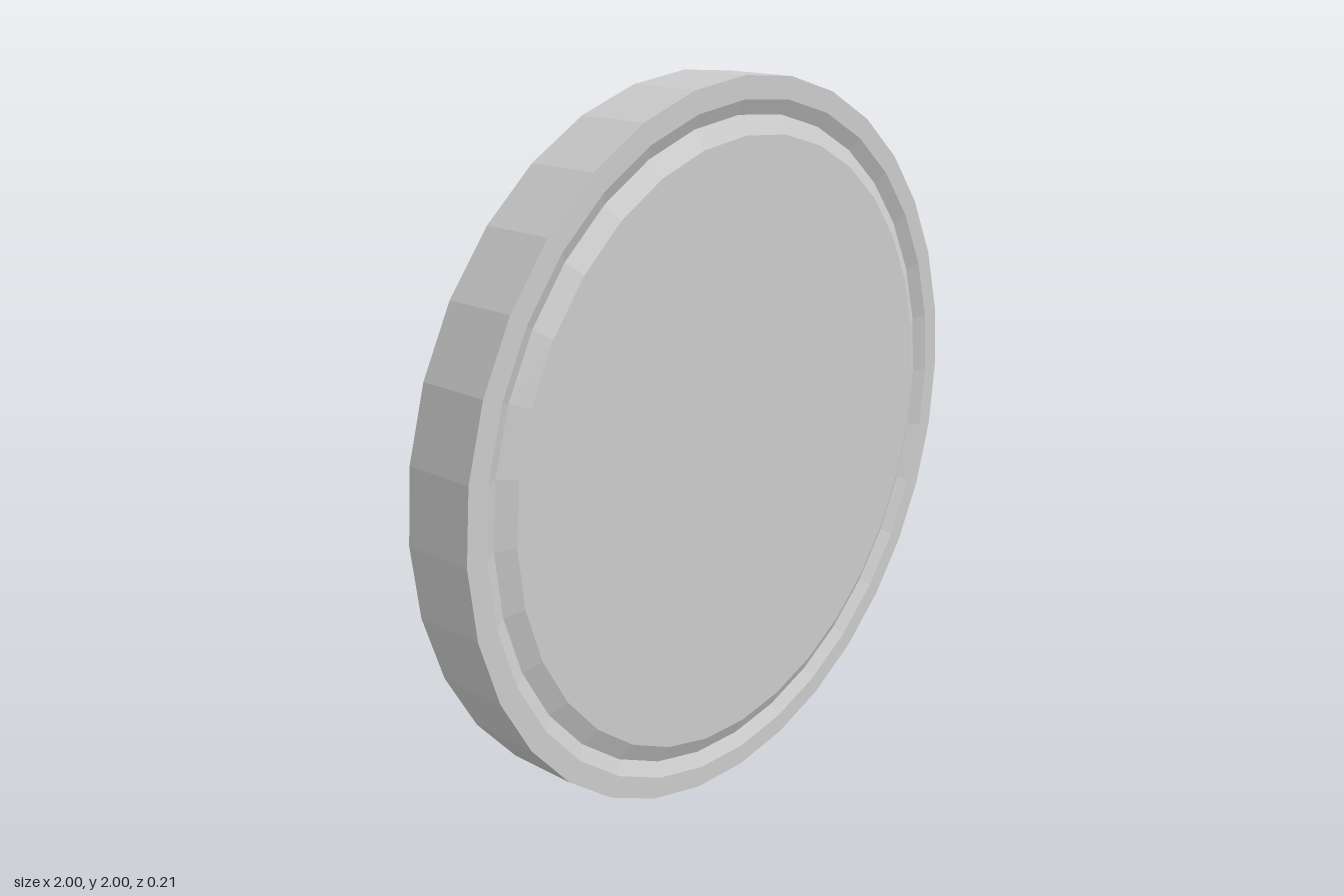
import * as THREE from 'three';

export function createModel() {
  const model = new THREE.Group();
  model.name = 'disc';

  // Half profile (radius, height): raised centre face, V groove, flat rim
  const half = [[0, 0.105], [0.85, 0.105], [0.9, 0.08], [0.94, 0.1], [1, 0.1]];
  const profile = [
    ...half.map(([r, h]) => new THREE.Vector2(r, -h)),
    ...half.slice().reverse().map(([r, h]) => new THREE.Vector2(r, h)),
  ];

  // Thirty-two sided body with both grooved faces, stood on its edge
  const geometry = new THREE.LatheGeometry(profile, 32);
  geometry.rotateX(Math.PI / 2);
  const material = new THREE.MeshStandardMaterial({ color: 0xcccccc, flatShading: true });
  const body = new THREE.Mesh(geometry, material);
  body.name = 'groovedDiscBody';
  body.position.y = 1;
  model.add(body);

  return model;
}
